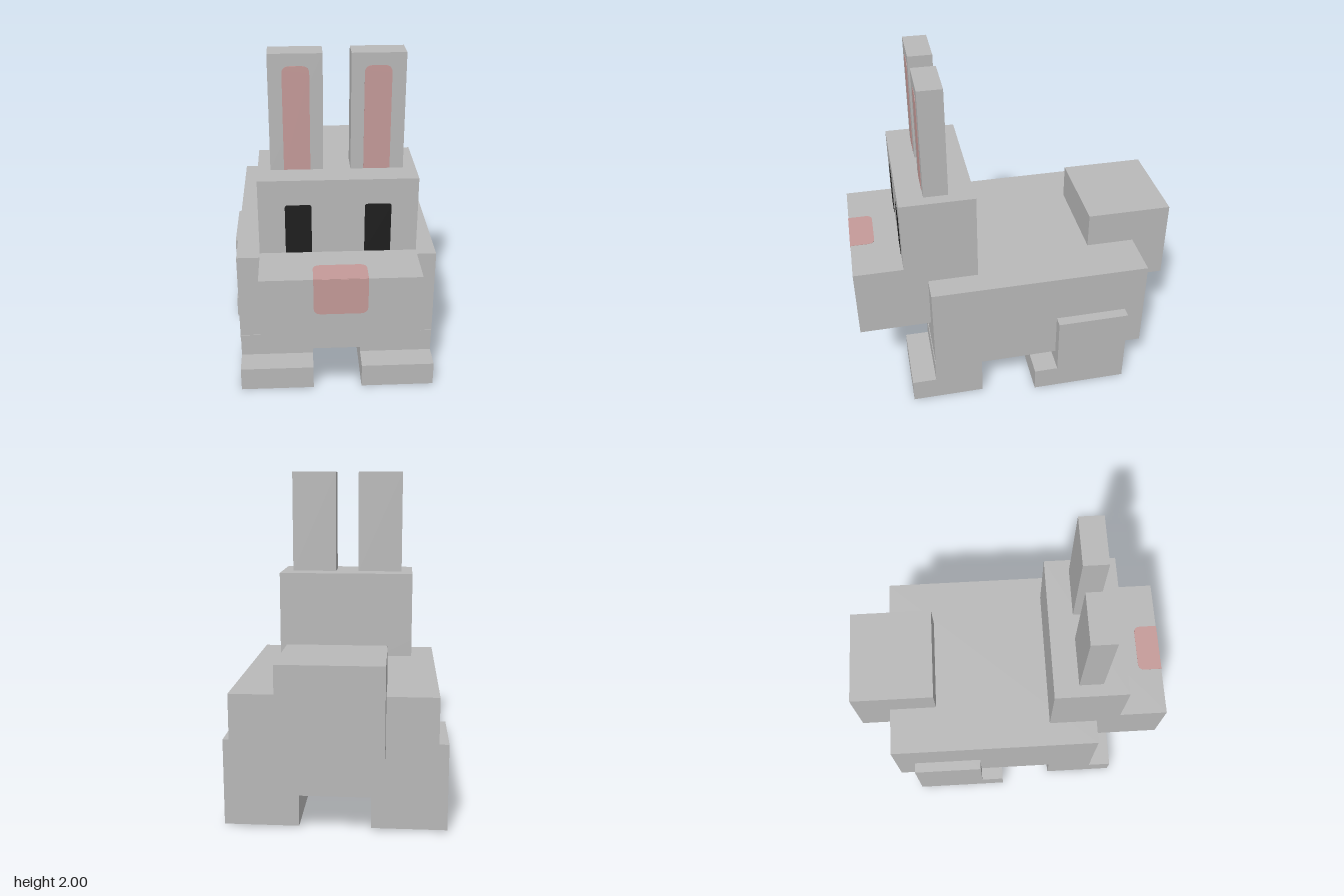
import * as THREE from 'three';

const fur = new THREE.MeshStandardMaterial({ color: 0xb8b8b8 });
fur.name = 'greyFur';
const pink = new THREE.MeshStandardMaterial({ color: 0xc49a98 });
pink.name = 'pinkSkin';
const black = new THREE.MeshStandardMaterial({ color: 0x1e1e1e });
black.name = 'blackEye';

// Box given by its limits on each axis
function block(name, x0, x1, y0, y1, z0, z1) {
  const mesh = new THREE.Mesh(new THREE.BoxGeometry(x1 - x0, y1 - y0, z1 - z0), fur);
  mesh.position.set((x0 + x1) / 2, (y0 + y1) / 2, (z0 + z1) / 2);
  mesh.name = name;
  return mesh;
}

// Thin plate standing on its straight edge, with the two far corners rounded
function plate(name, w, h, r, material) {
  const s = new THREE.Shape();
  s.moveTo(-w / 2, 0);
  s.lineTo(w / 2, 0);
  s.lineTo(w / 2, h - r);
  s.quadraticCurveTo(w / 2, h, w / 2 - r, h);
  s.lineTo(-w / 2 + r, h);
  s.quadraticCurveTo(-w / 2, h, -w / 2, h - r);
  s.closePath();
  const geometry = new THREE.ExtrudeGeometry(s, { depth: 0.003, bevelEnabled: false, curveSegments: 4 });
  const mesh = new THREE.Mesh(geometry, material);
  mesh.name = name;
  return mesh;
}

// Upright block with a rectangular hollow running through it from below
function hollowBlock(name, x0, x1, y0, y1, z0, z1) {
  const rect = (path, a, b, c, d) =>
    path.moveTo(a, c).lineTo(b, c).lineTo(b, d).lineTo(a, d).closePath();
  const shape = new THREE.Shape();
  rect(shape, x0, x1, -z1, -z0);
  const hole = new THREE.Path();
  const cx = (x0 + x1) / 2;
  rect(hole, cx - 0.14, cx + 0.14, -0.52, -0.38);
  shape.holes.push(hole);
  const geometry = new THREE.ExtrudeGeometry(shape, { depth: y1 - y0, bevelEnabled: false });
  geometry.rotateX(-Math.PI / 2);
  geometry.translate(0, y0, 0);
  const mesh = new THREE.Mesh(geometry, fur);
  mesh.name = name;
  return mesh;
}

export function createModel() {
  const model = new THREE.Group();
  model.name = 'rabbit';

  // Trunk, head and tail
  model.add(
    block('body', -0.573, 0.573, 0.242, 0.815, -0.75, 0.545),
    block('muzzle', -0.43, 0.43, 0.49, 0.922, 0.25, 0.968),
    block('head', -0.43, 0.43, 0.922, 1.355, 0.25, 0.68),
    block('tail', -0.286, 0.286, 0.53, 1.032, -0.968, -0.46)
  );

  // Nose wraps over the front edge of the muzzle
  const noseFront = plate('noseFront', 0.29, 0.213, 0.04, pink);
  noseFront.rotation.z = Math.PI;
  noseFront.position.set(0, 0.922, 0.967);
  const noseTop = plate('noseTop', 0.29, 0.143, 0.04, pink);
  noseTop.rotation.x = -Math.PI / 2;
  noseTop.position.set(0, 0.921, 0.968);
  model.add(noseFront, noseTop);

  for (const side of [-1, 1]) {
    const label = side > 0 ? 'left' : 'right';
    // Mirrored block: limits are given for the +x side
    const paired = (make, part, a, b, ...rest) =>
      model.add(make(label + part, Math.min(side * a, side * b), Math.max(side * a, side * b), ...rest));

    // Ear with pink inside
    paired(block, 'Ear', 0.074, 0.36, 1.355, 2, 0.395, 0.535);
    const innerEar = plate(label + 'InnerEar', 0.143, 0.578, 0.04, pink);
    innerEar.position.set(side * 0.215, 1.356, 0.534);
    // Eye
    const eye = plate(label + 'Eye', 0.143, 0.288, 0.015, black);
    eye.position.set(side * 0.215, 0.923, 0.679);
    model.add(innerEar, eye);

    // Hollow front leg and foot
    paired(hollowBlock, 'FrontLeg', 0.143, 0.571, 0.145, 0.285, 0.262, 0.549);
    paired(hollowBlock, 'FrontFoot', 0.143, 0.571, 0, 0.145, 0.262, 0.692);

    // Hind leg with long foot
    paired(block, 'HindLeg', 0.205, 0.635, 0.01, 0.515, -0.632, -0.202);
    paired(block, 'HindFoot', 0.205, 0.635, 0.01, 0.152, -0.202, -0.06);
  }
  return model;
}
